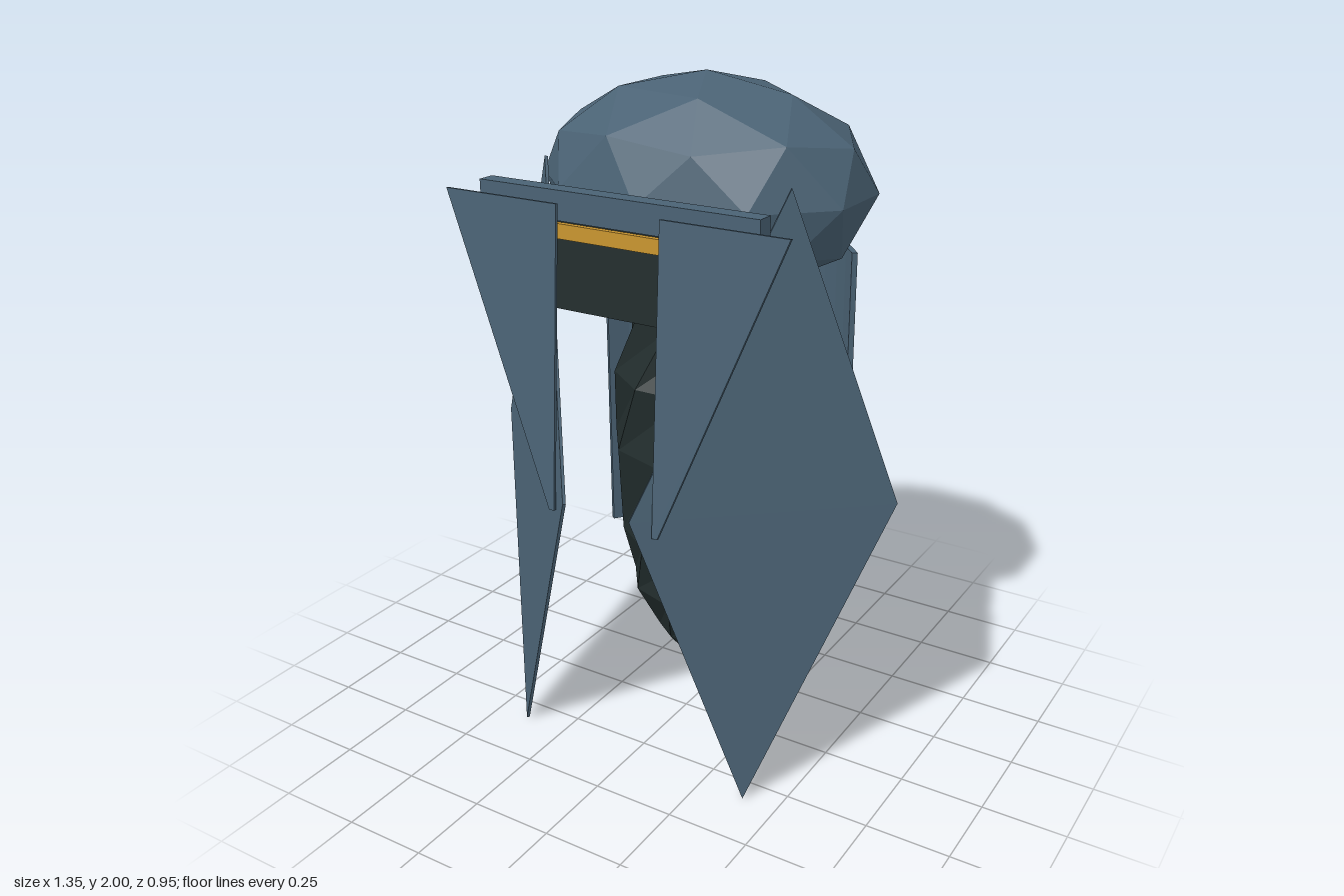
import * as THREE from 'three';
import { ConvexGeometry } from 'three/addons/geometries/ConvexGeometry.js';

export function createModel() {
  const model = new THREE.Group();
  const mat = (name, color) => {
    const m = new THREE.MeshStandardMaterial({ color });
    m.name = name;
    return m;
  };
  const blue = mat('slate blue', 0x4a6274);
  const dark = mat('dark green grey', 0x222d2d);
  const gold = mat('amber', 0xc9952f);
  const grey = mat('warm grey', 0xa8a098);

  const add = (name, geometry, material, x = 0, y = 0, z = 0) => {
    const mesh = new THREE.Mesh(geometry, material);
    mesh.name = name;
    mesh.position.set(x, y, z);
    model.add(mesh);
    return mesh;
  };

  const faceted = (geometry) => {
    const g = geometry.index ? geometry.toNonIndexed() : geometry;
    g.computeVertexNormals();
    return g;
  };

  // Thin flat plate from its corners
  const plate = (corners, thickness) => {
    const p = corners.map((c) => new THREE.Vector3(...c));
    const n = p[1].clone().sub(p[0]).cross(p[2].clone().sub(p[0])).setLength(thickness / 2);
    return new ConvexGeometry(p.flatMap((v) => [v.clone().add(n), v.clone().sub(n)]));
  };

  // Dome head: faceted sphere with a vertex at the top
  const head = new THREE.IcosahedronGeometry(1, 1);
  head.rotateZ(-Math.atan(2 / (1 + Math.sqrt(5))));
  head.scale(0.508, 0.31, 0.37);
  add('head', faceted(head), blue, 0, 1.69, -0.108);

  // Body: spindle of twisted rings, [height, radius]
  const rings = [[0.17, 0.085], [0.25, 0.15], [0.42, 0.235], [0.6, 0.262], [0.9, 0.29],
    [1.12, 0.28], [1.3, 0.23], [1.42, 0.16], [1.5, 0.1]];
  const sides = 10;
  const body = new THREE.CylinderGeometry(1, 1, 1, sides, rings.length - 1);
  const pos = body.attributes.position;
  for (let i = 0; i < pos.count; i++) {
    const k = Math.round((pos.getY(i) + 0.5) * (rings.length - 1));
    const [y, r] = rings[k];
    const x = pos.getX(i), z = pos.getZ(i);
    const a = Math.atan2(x, z) + (k * Math.PI) / sides;
    const rad = Math.hypot(x, z) * r;
    pos.setXYZ(i, rad * Math.sin(a), y, rad * Math.cos(a));
  }
  add('body', faceted(body), dark, 0, 0, -0.125);

  // Face plate, visor strip and brow bar
  add('facePlate', new THREE.BoxGeometry(0.69, 0.31, 0.05), dark, 0, 1.548, 0.292).rotation.x = -0.035;
  add('visor', new THREE.BoxGeometry(0.6, 0.042, 0.016), gold, 0, 1.615, 0.325);
  add('browBar', new THREE.BoxGeometry(0.866, 0.082, 0.052), blue, 0, 1.694, 0.337);

  for (const s of [1, -1]) {
    const side = s > 0 ? 'left' : 'right';

    // Large diamond shield
    add(side + 'DiamondPanel', plate([
      [s * 0.39, 1.76, 0.12], [s * 0.673, 0.885, -0.02],
      [s * 0.39, 0.005, 0.325], [s * 0.107, 0.885, 0.47],
    ], 0.009), blue);

    // Tapering front lapel
    add(side + 'Lapel', plate([
      [s * 0.53, 1.705, 0.385], [s * 0.16, 1.705, 0.385],
      [s * 0.163, 0.84, 0.44], [s * 0.18, 0.84, 0.44],
    ], 0.009), blue);

    // Half of the curved back cape, with a seam gap at the middle
    const R = 0.53, t = 0.016, n = 7, a0 = 0.02, a1 = 0.95;
    const arc = [];
    for (let i = 0; i <= n; i++) {
      const a = s * (a0 + ((a1 - a0) * i) / n);
      arc.push([Math.sin(a), Math.cos(a)]);
    }
    const outline = [
      ...arc.map(([x, y]) => new THREE.Vector2(x * R, y * R - 0.09)),
      ...arc.reverse().map(([x, y]) => new THREE.Vector2(x * (R - t), y * (R - t) - 0.09)),
    ];
    const cape = new THREE.ExtrudeGeometry(new THREE.Shape(outline), { depth: 1.045, bevelEnabled: false });
    cape.rotateX(-Math.PI / 2);
    add(side + 'Cape', cape, blue, 0, 0.47, -0.007).rotation.x = 0.012;
  }

  // Pairs of small clasps on the right shield and across the cape seam
  const clasp = (name, x, y, z, turn) => {
    const g = new THREE.CylinderGeometry(0.016, 0.016, 0.15, 8);
    g.rotateZ(Math.PI / 2);
    add(name, faceted(g), grey, x, y, z).rotation.y = turn;
  };
  for (const y of [1.275, 1.19]) clasp('shieldClasp', -0.465, y, 0.168, -0.72);
  for (const y of [1.218, 1.138]) clasp('capeClasp', 0, y, -0.447, 0);

  return model;
}
